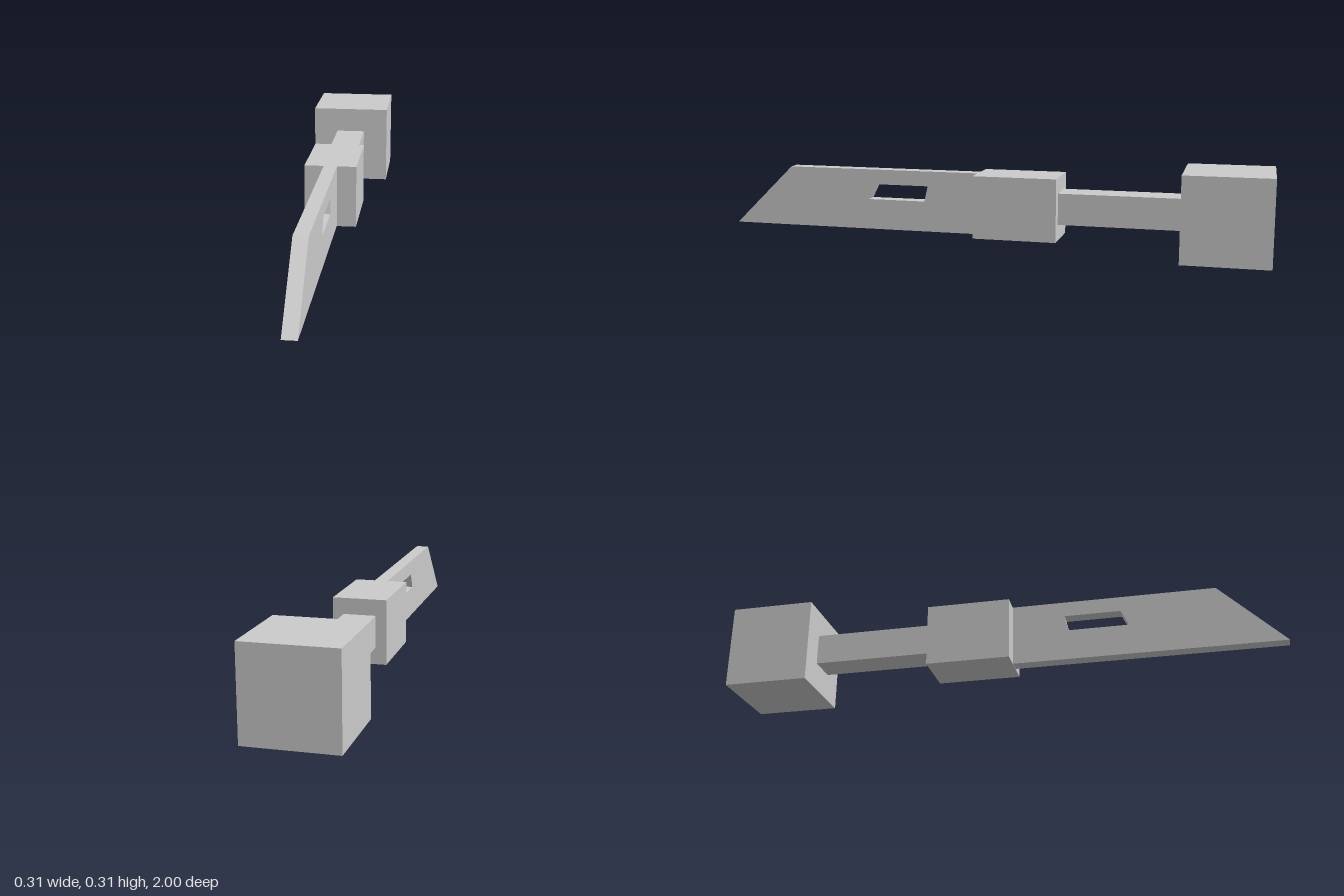
import * as THREE from 'three';

const material = new THREE.MeshStandardMaterial({ color: 0xcccccc, flatShading: true });

// Box centred on x = 0, spanning the given y and z ranges
function block(name, width, y0, y1, z0, z1) {
  const mesh = new THREE.Mesh(new THREE.BoxGeometry(width, y1 - y0, z1 - z0), material);
  mesh.position.set(0, (y0 + y1) / 2, (z0 + z1) / 2);
  mesh.name = name;
  return mesh;
}

const points = (list) => list.map(([z, y]) => new THREE.Vector2(z, y));

export function createModel() {
  const group = new THREE.Group();
  group.name = 'knife';

  group.add(
    block('pommel', 0.305, 0, 0.305, -1, -0.695),
    block('handle', 0.112, 0.098, 0.21, -0.695, -0.262),
    block('guard', 0.187, 0.04, 0.266, -0.262, 0.04)
  );

  // Blade: side profile in (z, y) with a slanted tip and a slot through it
  const thickness = 0.048;
  const profile = new THREE.Shape(points([[0.04, 0.042], [1, 0.042], [0.77, 0.266], [0.04, 0.266]]));
  profile.holes.push(new THREE.Path(points([[0.243, 0.154], [0.23, 0.211], [0.432, 0.211], [0.46, 0.154]])));
  const geometry = new THREE.ExtrudeGeometry(profile, { depth: thickness, bevelEnabled: false });
  geometry.translate(0, 0, -thickness / 2);
  geometry.rotateY(-Math.PI / 2);
  const blade = new THREE.Mesh(geometry, material);
  blade.name = 'blade';
  group.add(blade);

  return group;
}
